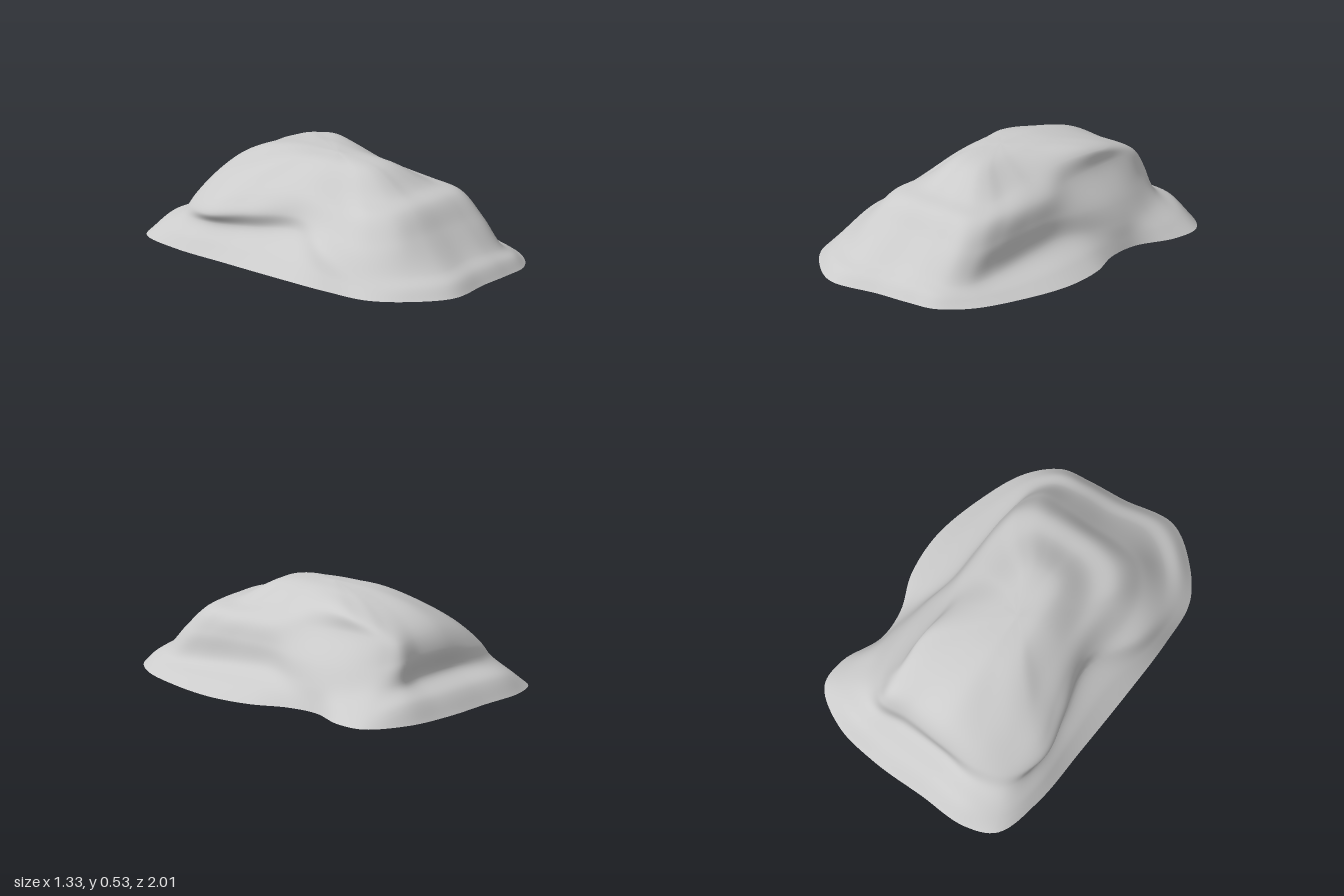
import * as THREE from 'three';

// Each ring runs round the mound from the front, by the left (+x), the back and the right.
// Ground outline: [x, z]
const outline = [
  [0, .95], [.2, .925], [.36, .89], [.5, .75], [.6, .5], [.66, .2], [.635, -.05], [.555, -.25],
  [.545, -.43], [.63, -.65], [.62, -.82], [.42, -.955], [.15, -1], [-.15, -1], [-.43, -1],
  [-.595, -.92], [-.66, -.65], [-.665, -.3], [-.665, .1], [-.655, .45], [-.62, .7], [-.48, .88], [-.28, 1],
];
// Crease where the skirt meets the wall: [x, y, z]
const foot = [
  [0, .11, .81], [.17, .11, .8], [.32, .09, .77], [.395, .085, .68], [.42, .095, .5], [.425, .125, .2],
  [.425, .14, 0], [.465, .13, -.2], [.49, .125, -.42], [.475, .13, -.6], [.41, .15, -.74], [.3, .16, -.805],
  [.13, .16, -.79], [-.13, .16, -.79], [-.36, .15, -.81], [-.51, .14, -.74], [-.56, .15, -.53],
  [-.51, .17, -.25], [-.455, .195, .02], [-.565, .165, .34], [-.53, .12, .58], [-.4, .1, .76], [-.22, .1, .85],
];
// Steep wall, with an overhanging lip at the back right and a ledge at the back left
const wall = [
  [0, .24, .67], [.17, .24, .665], [.3, .23, .65], [.365, .225, .57], [.39, .24, .42], [.39, .25, .2],
  [.39, .25, 0], [.415, .235, -.18], [.43, .225, -.4], [.4, .235, -.57], [.34, .25, -.71], [.27, .27, -.785],
  [.1, .28, -.775], [-.13, .27, -.785], [-.35, .235, -.765], [-.49, .205, -.69], [-.58, .205, -.5],
  [-.525, .245, -.25], [-.435, .27, .02], [-.465, .23, .33], [-.43, .22, .53], [-.33, .23, .65], [-.19, .24, .68],
];
// Shoulder above the wall
const shoulder = [
  [0, .355, .56], [.15, .355, .55], [.26, .35, .53], [.325, .345, .46], [.345, .345, .32], [.345, .35, .15],
  [.34, .355, 0], [.305, .37, -.18], [.3, .385, -.4], [.298, .385, -.55], [.285, .375, -.67], [.24, .365, -.74],
  [.09, .37, -.72], [-.12, .37, -.72], [-.31, .325, -.69], [-.45, .28, -.61], [-.53, .275, -.47],
  [-.465, .32, -.25], [-.39, .35, .02], [-.37, .32, .31], [-.345, .335, .44], [-.27, .345, .53], [-.15, .355, .56],
];
// Upper slope, with a ridge along the back left
const crown = [
  [-.02, .398, .43], [.08, .398, .425], [.17, .395, .4], [.22, .395, .33], [.225, .405, .22], [.22, .425, .1],
  [.22, .435, 0], [.24, .46, -.18], [.275, .468, -.38], [.27, .455, -.5], [.235, .45, -.565], [.17, .445, -.59],
  [.06, .45, -.58], [-.1, .45, -.58], [-.25, .41, -.55], [-.36, .38, -.49], [-.41, .37, -.4],
  [-.36, .4, -.22], [-.32, .415, 0], [-.29, .385, .2], [-.25, .39, .32], [-.18, .395, .4], [-.1, .398, .43],
];
const peak = new THREE.Vector3(-.06, .526, -.05);

const AROUND = 184, INWARD = 56;

function closedCurve(points) {
  return new THREE.CatmullRomCurve3(points.map(p => new THREE.Vector3(...p)), true);
}

function moundGeometry() {
  const base = outline.map(([x, z]) => [x, 0, z]);
  // Skirt is rounded at the back and front rims and straight along the sides
  const skirt = base.map(([x, , z], i) => {
    const [fx, fy, fz] = foot[i];
    const rise = z < -.94 ? .58 : z > .85 ? .55 : .41;
    return [x + (fx - x) * .4, fy * rise, z + (fz - z) * .4];
  });
  // Nearly flat top around the peak
  const top = crown.map(([x, y, z]) => [-.06 + (x + .06) * .45, .508 + (y - .43) * .2, z * .55]);
  const rings = [base, skirt, foot, wall, shoulder, crown, top].map(closedCurve);

  // Sweep profiles from the ground to the shared peak
  const positions = [], index = [];
  for (let u = 0; u < AROUND; u++) {
    const profile = new THREE.CatmullRomCurve3([...rings.map(r => r.getPoint(u / AROUND)), peak]);
    for (let v = 0; v < INWARD; v++) {
      const p = profile.getPoint(v / INWARD);
      positions.push(p.x, Math.max(p.y, 0), p.z);
    }
  }
  const peakId = positions.length / 3;
  positions.push(peak.x, peak.y, peak.z);
  const id = (u, v) => v === INWARD ? peakId : (u % AROUND) * INWARD + v;
  for (let u = 0; u < AROUND; u++) {
    for (let v = 0; v < INWARD; v++) {
      const a = id(u, v), b = id(u + 1, v), c = id(u + 1, v + 1), d = id(u, v + 1);
      index.push(a, b, d);
      if (c !== d) index.push(b, c, d);
    }
  }
  const geometry = new THREE.BufferGeometry();
  geometry.setAttribute('position', new THREE.Float32BufferAttribute(positions, 3));
  geometry.setIndex(index);
  geometry.computeVertexNormals();
  return geometry;
}

export function createModel() {
  const group = new THREE.Group();
  group.name = 'mound';
  // Hollow shell, open underneath
  const material = new THREE.MeshStandardMaterial({ color: 0xcccccc, side: THREE.DoubleSide });
  const shell = new THREE.Mesh(moundGeometry(), material);
  shell.name = 'moundShell';
  group.add(shell);
  return group;
}
